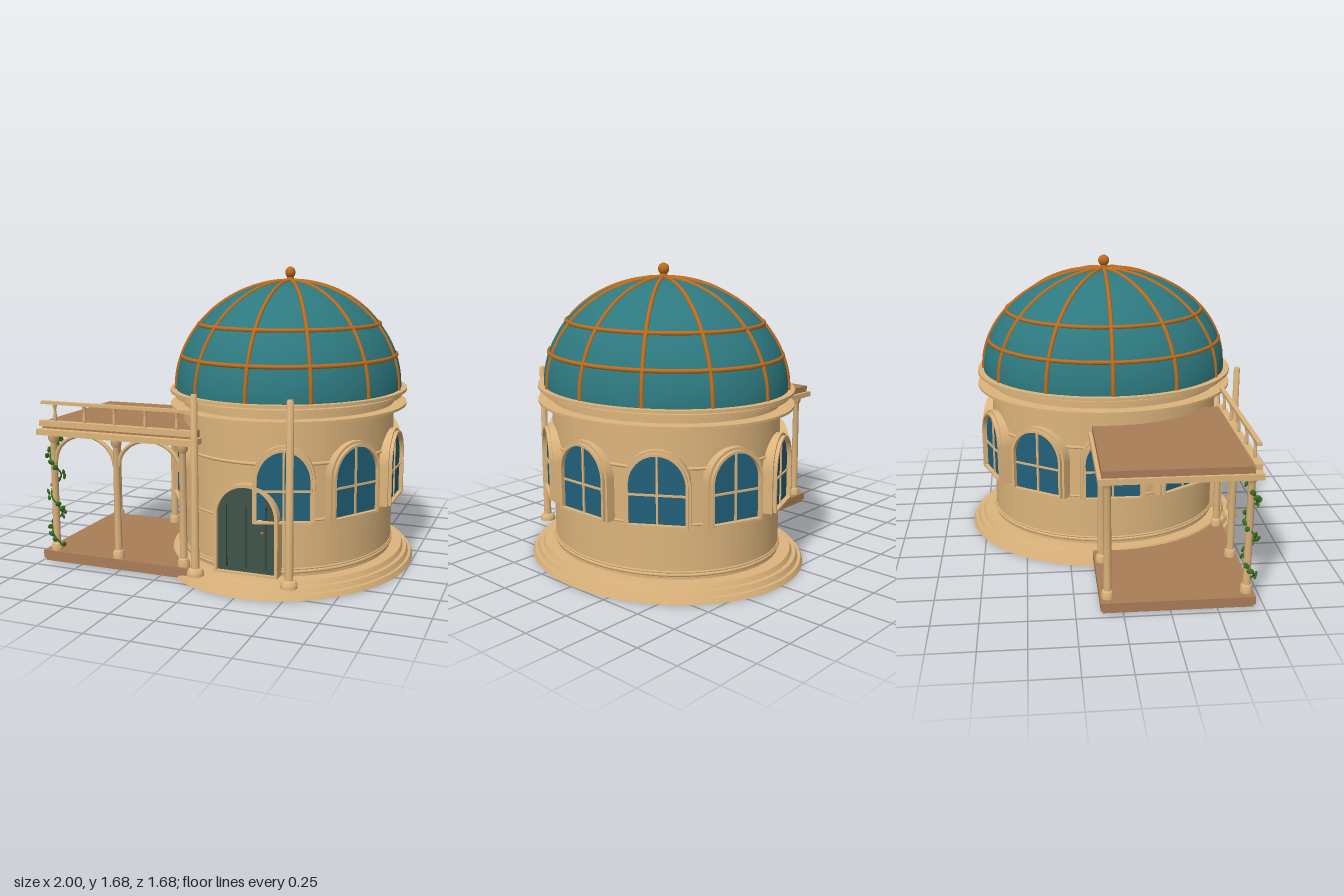
import * as THREE from 'three';
import { toCreasedNormals } from 'three/addons/utils/BufferGeometryUtils.js';

const mat = (name, color, extra = {}) => {
  const m = new THREE.MeshStandardMaterial({ color, ...extra });
  m.name = name;
  return m;
};

export function createModel() {
  const stone = mat('sandstone', 0xdcb47c);
  const wood = mat('brown boards', 0xa97d57);
  const teal = mat('teal dome', 0x2d797f);
  const copper = mat('copper', 0xbd6c1e);
  const glass = mat('window glass', 0x22607a);
  const doorGreen = mat('door green', 0x40544a);
  const groove = mat('door groove', 0x26332d);
  const leafGreen = mat('ivy green', 0x3a7022, { side: THREE.DoubleSide });

  const model = new THREE.Group();
  const add = (parent, name, geo, material, x = 0, y = 0, z = 0) => {
    const m = new THREE.Mesh(geo, material);
    m.name = name;
    m.position.set(x, y, z);
    parent.add(m);
    return m;
  };
  const group = (parent, name) => {
    const g = new THREE.Group();
    g.name = name;
    parent.add(g);
    return g;
  };
  // box and disc helpers given by their extents
  const box = (p, name, material, x0, x1, y0, y1, z0, z1) =>
    add(p, name, new THREE.BoxGeometry(x1 - x0, y1 - y0, z1 - z0), material,
      (x0 + x1) / 2, (y0 + y1) / 2, (z0 + z1) / 2);
  const disc = (p, name, material, r, y0, y1, rTop = r) =>
    add(p, name, new THREE.CylinderGeometry(rTop, r, y1 - y0, 72), material, 0, (y0 + y1) / 2, 0);
  const ring = (p, name, material, r, y, tube) => {
    const m = add(p, name, new THREE.TorusGeometry(r, tube, 8, 72), material, 0, y, 0);
    m.rotation.x = Math.PI / 2;
    return m;
  };
  const lathe = (pts, seg = 20) => toCreasedNormals(
    new THREE.LatheGeometry(pts.map(([r, y]) => new THREE.Vector2(r, y)), seg), 0.6);

  // round-headed outlines and frames
  const archTo = (shape, hw, y0, spring) => {
    shape.moveTo(-hw, y0);
    shape.lineTo(hw, y0);
    shape.lineTo(hw, spring);
    shape.absarc(0, spring, hw, 0, Math.PI, false);
    shape.closePath();
    return shape;
  };
  const archShape = (...a) => archTo(new THREE.Shape(), ...a);
  const archFrame = (outer, inner, depth) => {
    const s = archShape(...outer);
    s.holes.push(archTo(new THREE.Path(), ...inner));
    return toCreasedNormals(
      new THREE.ExtrudeGeometry(s, { depth, bevelEnabled: false, curveSegments: 20 }), 0.6);
  };

  // oval building: round parts squeezed along x
  const hall = group(model, 'hall');
  hall.position.x = 0.27;
  hall.scale.x = 0.868;

  // stepped base, wall and mouldings
  [[0.84, 0, 0.028], [0.81, 0.028, 0.055], [0.775, 0.055, 0.08]].forEach(([r, a, b]) =>
    disc(hall, 'baseStep', stone, r, a, b, r - 0.012));
  disc(hall, 'wall', stone, 0.69, 0.08, 0.99);
  [[0.105, 0.01], [0.12, 0.006], [0.38, 0.007], [0.68, 0.009]].forEach(([y, t]) =>
    ring(hall, 'wallMoulding', stone, 0.69, y, t));
  disc(hall, 'lowerCornice', stone, 0.772, 0.903, 0.917);
  disc(hall, 'corniceBand', stone, 0.74, 0.955, 0.972);
  disc(hall, 'upperCornice', stone, 0.772, 0.984, 1.0);

  // dome with its ribs
  const R = 0.735, H = 0.6;
  const dome = add(hall, 'dome',
    new THREE.SphereGeometry(1, 72, 24, 0, Math.PI * 2, 0, Math.PI / 2), teal, 0, 1, 0);
  dome.scale.set(R, H, R);
  const ribPts = [];
  for (let i = 0; i <= 12; i++) {
    const a = (i / 12) * Math.PI / 2;
    ribPts.push(new THREE.Vector3(R * Math.cos(a), 1 + H * Math.sin(a), 0));
  }
  const ribGeo = new THREE.TubeGeometry(new THREE.CatmullRomCurve3(ribPts), 36, 0.012, 8);
  for (let i = 0; i < 12; i++)
    add(hall, 'domeRib', ribGeo, copper).rotation.y = i * Math.PI / 6;
  [1.185, 1.36].forEach(y =>
    ring(hall, 'domeHoop', copper, R * Math.sqrt(1 - ((y - 1) / H) ** 2), y, 0.012));
  disc(hall, 'finialNeck', copper, 0.028, 1.595, 1.625, 0.02);
  add(hall, 'finialBall', new THREE.SphereGeometry(0.033, 24, 16), copper, 0, 1.647, 0);

  // arched windows, every 36 degrees except beside the door
  const outerFrame = archFrame([0.184, 0.375, 0.6], [0.164, 0.388, 0.6], 0.07);
  const innerFrame = archFrame([0.17, 0.38, 0.6], [0.156, 0.39, 0.6], 0.095);
  const pane = new THREE.ShapeGeometry(archShape(0.16, 0.385, 0.6), 20);
  for (let i = 0; i < 10; i++) {
    if (i === 3) continue;
    const w = group(hall, 'window');
    w.rotation.y = Math.PI / 2 - i * Math.PI / 5;
    add(w, 'windowSurround', outerFrame, stone, 0, 0, 0.655);
    add(w, 'windowFrame', innerFrame, stone, 0, 0, 0.65);
    add(w, 'windowPane', pane, glass, 0, 0, 0.718);
    box(w, 'windowMullion', stone, -0.006, 0.006, 0.385, 0.755, 0.712, 0.727);
    box(w, 'windowBar', stone, -0.157, 0.157, 0.54, 0.551, 0.712, 0.726);
  }

  // front door
  const door = group(model, 'door');
  door.position.x = 0.27;
  add(door, 'doorFrame',
    archFrame([0.178, 0.09, 0.4], [0.16, 0.1, 0.4], 0.1), stone, 0, 0, 0.635);
  add(door, 'doorLeaf', new THREE.ExtrudeGeometry(archShape(0.163, 0.095, 0.4),
    { depth: 0.07, bevelEnabled: false, curveSegments: 20 }), doorGreen, 0, 0, 0.645);
  [[-0.11, 0.46], [0, 0.46], [0.11, 0.46]].forEach(([x, top]) =>
    box(door, 'doorGroove', groove, x - 0.003, x + 0.003, 0.12, top, 0.713, 0.717));
  const handle = add(door, 'doorHandle', new THREE.SphereGeometry(0.016, 12, 8), stone, 0.078, 0.385, 0.725);
  handle.scale.set(1.2, 0.7, 0.8);
  add(door, 'doorKnob', new THREE.SphereGeometry(0.009, 12, 8), copper, 0.09, 0.322, 0.72);

  // tall columns flanking the door
  const columnGeo = lathe([[0, 0.07], [0.045, 0.07], [0.045, 0.09], [0.036, 0.105],
    [0.022, 0.11], [0.018, 1.03], [0.014, 1.04], [0, 1.04]]);
  [0.005, 0.525].forEach(x => add(model, 'doorColumn', columnGeo, stone, x, 0, 0.775));

  // side porch: floor, ceiling, roof
  const porch = group(model, 'porch');
  box(porch, 'porchFloor', wood, -0.98, -0.06, 0.025, 0.07, -0.12, 0.7);
  box(porch, 'porchFloorEdge', wood, -0.97, -0.07, 0.008, 0.025, -0.11, 0.69);
  box(porch, 'porchCeiling', stone, -1.0, -0.03, 0.745, 0.777, -0.135, 0.705);
  box(porch, 'porchRoof', wood, -0.985, -0.05, 0.777, 0.815, -0.115, 0.66);
  box(porch, 'roofRail', stone, -0.985, -0.045, 0.795, 0.826, 0.655, 0.695);

  // balustrade along the front
  box(porch, 'handrail', stone, -0.975, -0.05, 0.92, 0.937, 0.662, 0.688);
  const balusterGeo = lathe([[0.008, 0.82], [0.011, 0.85], [0.007, 0.89], [0.014, 0.922]], 12);
  for (let i = 0; i < 5; i++)
    add(porch, 'baluster', balusterGeo, stone, -0.89 + i * 0.1875, 0, 0.675);

  // porch posts
  const postGeo = lathe([[0, 0.07], [0.033, 0.07], [0.033, 0.095], [0.028, 0.11],
    [0.021, 0.115], [0.019, 0.7], [0.029, 0.715], [0.032, 0.745], [0, 0.745]]);
  [[-0.915, 0.66], [-0.515, 0.66], [-0.115, 0.66], [-0.915, -0.08], [-0.515, -0.08]].forEach(([x, z]) =>
    add(porch, 'porchPost', postGeo, stone, x, 0, z));

  // arches between the front posts
  const archGeo = new THREE.TorusGeometry(0.187, 0.013, 8, 28, Math.PI);
  [-0.715, -0.315].forEach(x => {
    add(porch, 'porchArch', archGeo, stone, x, 0.595, 0.66).scale.y = 0.83;
  });

  // ivy winding up the corner post
  const ivy = group(porch, 'ivy');
  ivy.position.set(-0.9, 0, 0.672);
  const vine = new THREE.CatmullRomCurve3(Array.from({ length: 25 }, (_, i) => {
    const a = i * 0.8;
    return new THREE.Vector3(0.03 * Math.cos(a), 0.1 + i * 0.0275, 0.028 * Math.sin(a));
  }));
  add(ivy, 'ivyStem', new THREE.TubeGeometry(vine, 90, 0.005, 6), leafGreen);
  const leafGeo = new THREE.SphereGeometry(0.02, 8, 6);
  for (let i = 0; i < 22; i++) {
    const p = vine.getPoint((i + 0.5) / 22);
    const a = Math.atan2(p.z, p.x) + (i % 2 ? 0.5 : -0.5);
    const leaf = add(ivy, 'ivyLeaf', leafGeo, leafGreen,
      p.x + 0.02 * Math.cos(a), p.y, p.z + 0.012 * Math.sin(a));
    leaf.scale.set(1, 0.75, 0.4);
    leaf.rotation.set(0.3, -a + Math.PI / 2, i % 2 ? 0.6 : -0.6);
  }

  return model;
}
